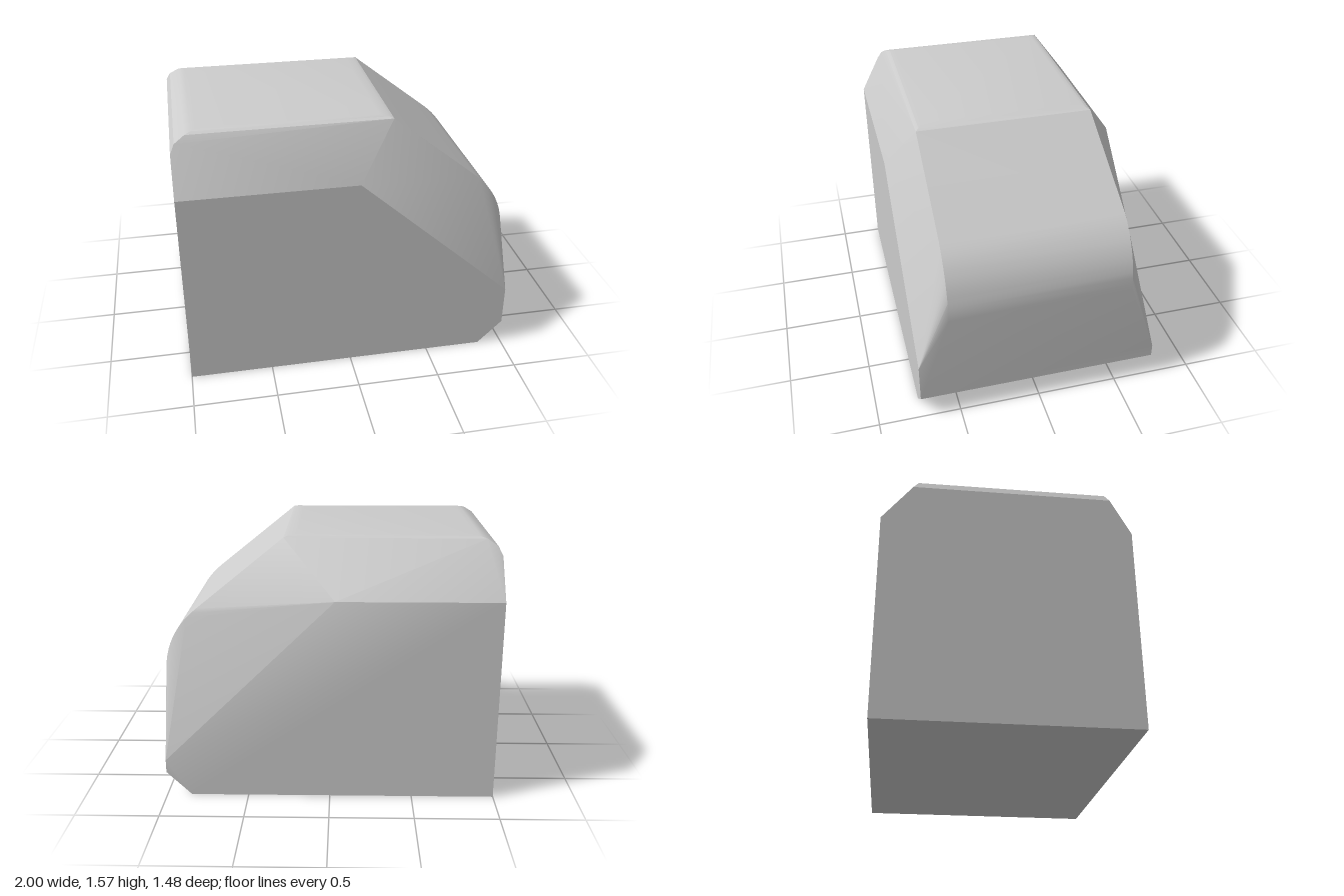
import * as THREE from 'three';
import { ConvexGeometry } from 'three/addons/geometries/ConvexGeometry.js';
import { toCreasedNormals } from 'three/addons/utils/BufferGeometryUtils.js';

export function createModel() {
  const group = new THREE.Group();
  group.name = 'bevelledBlock';
  const points = [];
  const add = (x, y, zFront, zBack) =>
    points.push(new THREE.Vector3(x, y, zFront), new THREE.Vector3(x, y, zBack));

  // Lower body, with the chamfer under its left end
  for (const [x, y] of [[-1, 0], [0.85, 0], [1, 0.15], [-1, 1.24]]) add(x, y, 0.74, -0.74);

  // Where the side walls stop and the sloping bevels begin
  points.push(
    new THREE.Vector3(0.05, 1.24, 0.74), new THREE.Vector3(-0.03, 1.24, -0.74),
    new THREE.Vector3(1, 0.4, 0.74), new THREE.Vector3(1, 0.23, -0.74)
  );

  // Rounded shoulder between the sloping roof and the left end
  const shoulder = new THREE.QuadraticBezierCurve(
    new THREE.Vector2(0.8, 1.14), new THREE.Vector2(1, 0.98), new THREE.Vector2(1, 0.73));
  for (const p of shoulder.getPoints(12)) add(p.x, p.y, 0.55, -0.555);

  // Rounded rim and flat top
  add(-1, 1.47, 0.62, -0.56);
  add(-0.975, 1.52, 0.595, -0.53);
  add(-0.915, 1.558, 0.57, -0.503);
  add(0.275, 1.56, 0.565, -0.5);
  add(0.25, 1.567, 0.545, -0.48);
  add(-0.88, 1.567, 0.545, -0.48);
  add(0.2, 1.572, 0.515, -0.455);
  add(-0.85, 1.572, 0.515, -0.455);

  const body = new THREE.Mesh(
    toCreasedNormals(new ConvexGeometry(points), 0.35),
    new THREE.MeshStandardMaterial({ color: 0xcccccc })
  );
  body.name = 'body';
  group.add(body);
  return group;
}
